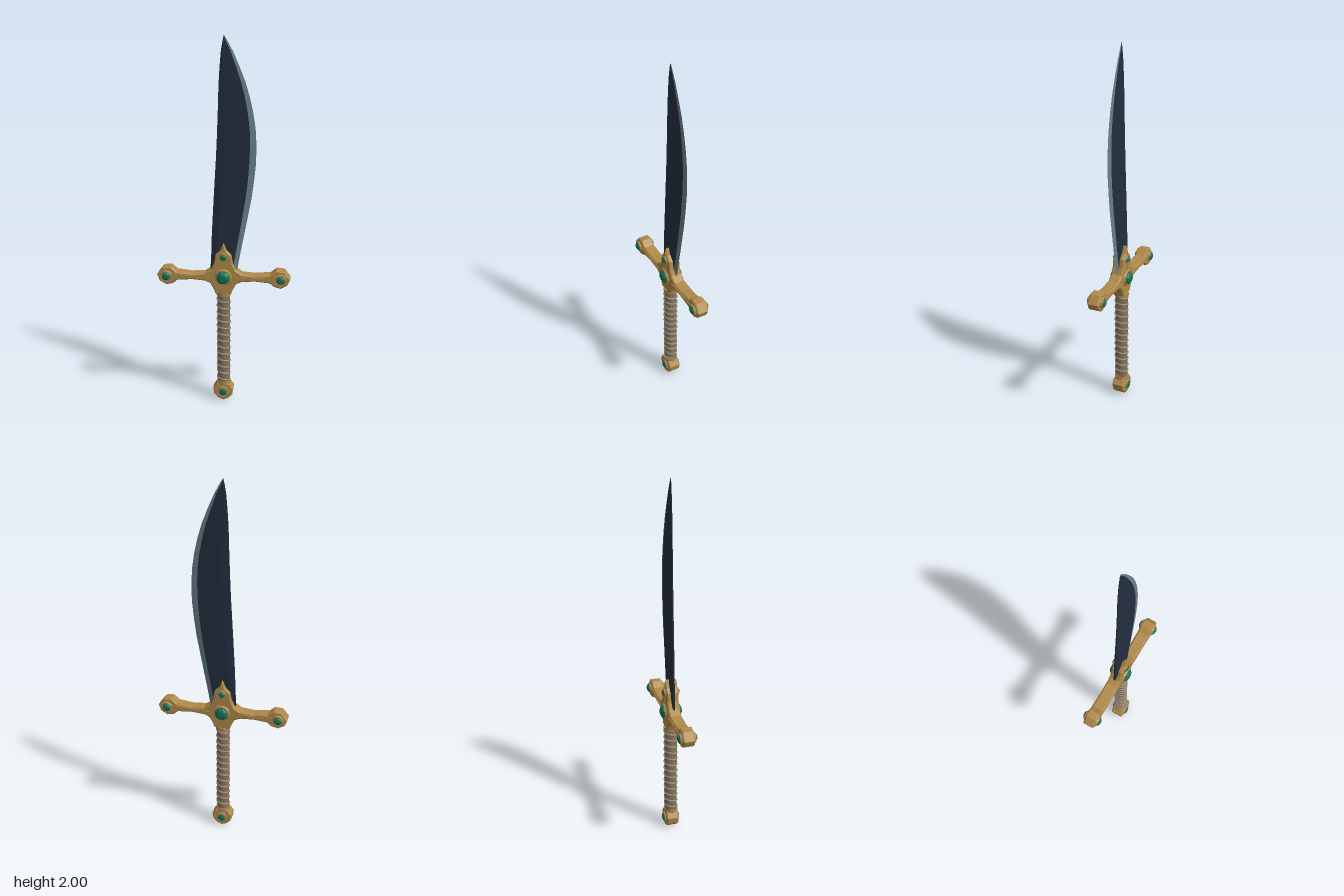
import * as THREE from 'three';

const mat = (name, color) => {
  const m = new THREE.MeshStandardMaterial({ color });
  m.name = name;
  return m;
};

export function createModel() {
  const gold = mat('gold', 0xb08a4a);
  const emerald = mat('emerald', 0x15735a);
  const darkSteel = mat('dark steel', 0x222e3e);
  const edgeSteel = mat('edge steel', 0x6a8088);
  const leather = mat('leather', 0x86735c);
  const cord = mat('cord', 0x978a78);

  const sword = new THREE.Group();
  sword.name = 'sword';
  const add = (name, geometry, material, parent = sword) => {
    const mesh = new THREE.Mesh(geometry, material);
    mesh.name = name;
    parent.add(mesh);
    return mesh;
  };
  const faceted = (g) => {
    const flat = g.index ? g.toNonIndexed() : g;
    flat.computeVertexNormals();
    return flat;
  };
  const mirrorX = (half) => [...half, ...half.filter((p) => p[0] > 0).reverse().map(([x, y]) => [-x, y])];
  // Chamfered slab centred on z, with its outline kept exact
  const slab = (points, halfDepth, bevel) => {
    const g = new THREE.ExtrudeGeometry(new THREE.Shape(points.map((p) => new THREE.Vector2(...p))), {
      depth: 2 * (halfDepth - bevel), bevelEnabled: bevel > 0, bevelSize: bevel,
      bevelThickness: bevel, bevelOffset: -bevel, bevelSegments: 1,
    });
    return g.translate(0, 0, bevel - halfDepth);
  };

  // Blade: rows of y, spine x, bevel x, cutting edge x, half thickness
  const rows = [
    [0.74, -0.073, 0.045, 0.068, 0.012], [0.85, -0.067, 0.062, 0.087, 0.012],
    [0.95, -0.064, 0.080, 0.106, 0.0115], [1.05, -0.059, 0.097, 0.125, 0.011],
    [1.16, -0.053, 0.114, 0.145, 0.010], [1.25, -0.048, 0.125, 0.157, 0.0095],
    [1.35, -0.042, 0.133, 0.167, 0.009], [1.45, -0.037, 0.136, 0.168, 0.0085],
    [1.53, -0.034, 0.133, 0.163, 0.008], [1.61, -0.031, 0.123, 0.151, 0.007],
    [1.69, -0.029, 0.108, 0.133, 0.0065], [1.77, -0.026, 0.087, 0.109, 0.006],
    [1.85, -0.021, 0.060, 0.077, 0.005], [1.92, -0.015, 0.034, 0.046, 0.004],
    [1.97, -0.007, 0.011, 0.019, 0.003], [2.0, 0, 0, 0, 0],
  ];
  const columns = {
    spine: ([y, s, , , t]) => [s, y, t * 0.35],
    ridge: ([y, s, b, , t]) => [s + (b - s) * 0.22, y, t],
    bevel: ([y, , b, , t]) => [b, y, t * 0.65],
    edge: ([y, , , e]) => [e, y, 0],
  };
  const back = (column) => (row) => {
    const [x, y, z] = column(row);
    return [x, y, -z];
  };
  const strips = (pairs) => {
    const out = [];
    for (const [a, b] of pairs) {
      for (let i = 0; i < rows.length - 1; i++) {
        const [a0, b0, b1, a1] = [a(rows[i]), b(rows[i]), b(rows[i + 1]), a(rows[i + 1])];
        out.push(...a0, ...b0, ...b1, ...a0, ...b1, ...a1);
      }
    }
    const g = new THREE.BufferGeometry();
    g.setAttribute('position', new THREE.Float32BufferAttribute(out, 3));
    g.computeVertexNormals();
    return g;
  };
  const { spine, ridge, bevel, edge } = columns;
  add('bladeBody', strips([
    [spine, ridge], [ridge, bevel], [back(ridge), back(spine)], [back(bevel), back(ridge)], [back(spine), spine],
  ]), darkSteel);
  add('cuttingEdge', strips([[bevel, edge], [back(edge), back(bevel)]]), edgeSteel);

  // Crossguard with a pointed centre and faceted ends
  add('crossguard', slab(mirrorX([
    [0, 0.918], [0.016, 0.878], [0.042, 0.852], [0.05, 0.805], [0.066, 0.77], [0.1, 0.747], [0.17, 0.741],
    [0.252, 0.75], [0.283, 0.776], [0.325, 0.772], [0.358, 0.73], [0.344, 0.695], [0.308, 0.675],
    [0.27, 0.684], [0.25, 0.703], [0.17, 0.71], [0.1, 0.705], [0.07, 0.692], [0.052, 0.66], [0.042, 0.633], [0, 0.633],
  ]), 0.032, 0.006), gold);

  // Thin raised ribs along both arms and up the centre, on both faces
  for (const side of [1, -1]) {
    add('armRib', slab([
      [side * 0.07, 0.727], [side * 0.1, 0.721], [side * 0.18, 0.722], [side * 0.29, 0.714],
      [side * 0.29, 0.74], [side * 0.18, 0.732], [side * 0.1, 0.733],
    ], 0.036, 0), gold);
  }
  add('centreRib', slab([[-0.004, 0.75], [0.004, 0.75], [0.004, 0.86], [0, 0.895], [-0.004, 0.86]], 0.035, 0), gold);

  // Faceted gems in round settings, on both faces
  const setGem = (name, x, y, z, bezelRadius, gemRadius, height) => {
    for (const side of [1, -1]) {
      const group = new THREE.Group();
      group.name = name;
      group.position.set(x, y, side * z);
      group.rotation.x = side * Math.PI / 2;
      const bezel = new THREE.CylinderGeometry(bezelRadius * 0.88, bezelRadius, 0.01, 12);
      add('setting', faceted(bezel.translate(0, 0.003, 0)), gold, group);
      const profile = [[gemRadius, 0], [gemRadius, height * 0.45], [gemRadius * 0.75, height * 0.8], [0.5 * gemRadius, height], [0, height]];
      const gem = new THREE.LatheGeometry(profile.map((p) => new THREE.Vector2(...p)), 8);
      add('gem', faceted(gem.rotateY(Math.PI / 8)), emerald, group);
      sword.add(group);
    }
  };
  setGem('centreGem', 0, 0.73, 0.034, 0.047, 0.037, 0.024);
  setGem('upperGem', 0, 0.843, 0.032, 0.025, 0.019, 0.015);
  setGem('leftArmGem', 0.308, 0.727, 0.034, 0.031, 0.024, 0.017);
  setGem('rightArmGem', -0.308, 0.727, 0.034, 0.031, 0.024, 0.017);
  setGem('pommelGem', 0, 0.054, 0.033, 0.032, 0.024, 0.015);

  // Grip with a spiral cord wrap
  const grip = add('grip', new THREE.CylinderGeometry(0.034, 0.034, 0.54, 20), leather);
  grip.position.y = 0.365;
  const turns = 13;
  const points = [];
  for (let i = 0; i <= turns * 12; i++) {
    const a = (i / 12) * Math.PI * 2;
    points.push(new THREE.Vector3(Math.cos(a) * 0.033, 0.115 + (0.5 * i) / (turns * 12), Math.sin(a) * 0.033));
  }
  add('gripCord', new THREE.TubeGeometry(new THREE.CatmullRomCurve3(points), turns * 20, 0.0065, 6), cord);

  // Gold collars and pommel
  for (const y of [0.102, 0.627]) {
    add('collar', faceted(new THREE.CylinderGeometry(0.039, 0.039, 0.018, 16))).position.y = y;
    sword.children.at(-1).material = gold;
  }
  add('pommel', slab(mirrorX([
    [0, 0.1], [0.034, 0.1], [0.056, 0.07], [0.05, 0.034], [0.025, 0.01], [0, 0],
  ]), 0.034, 0.006), gold);

  return sword;
}
